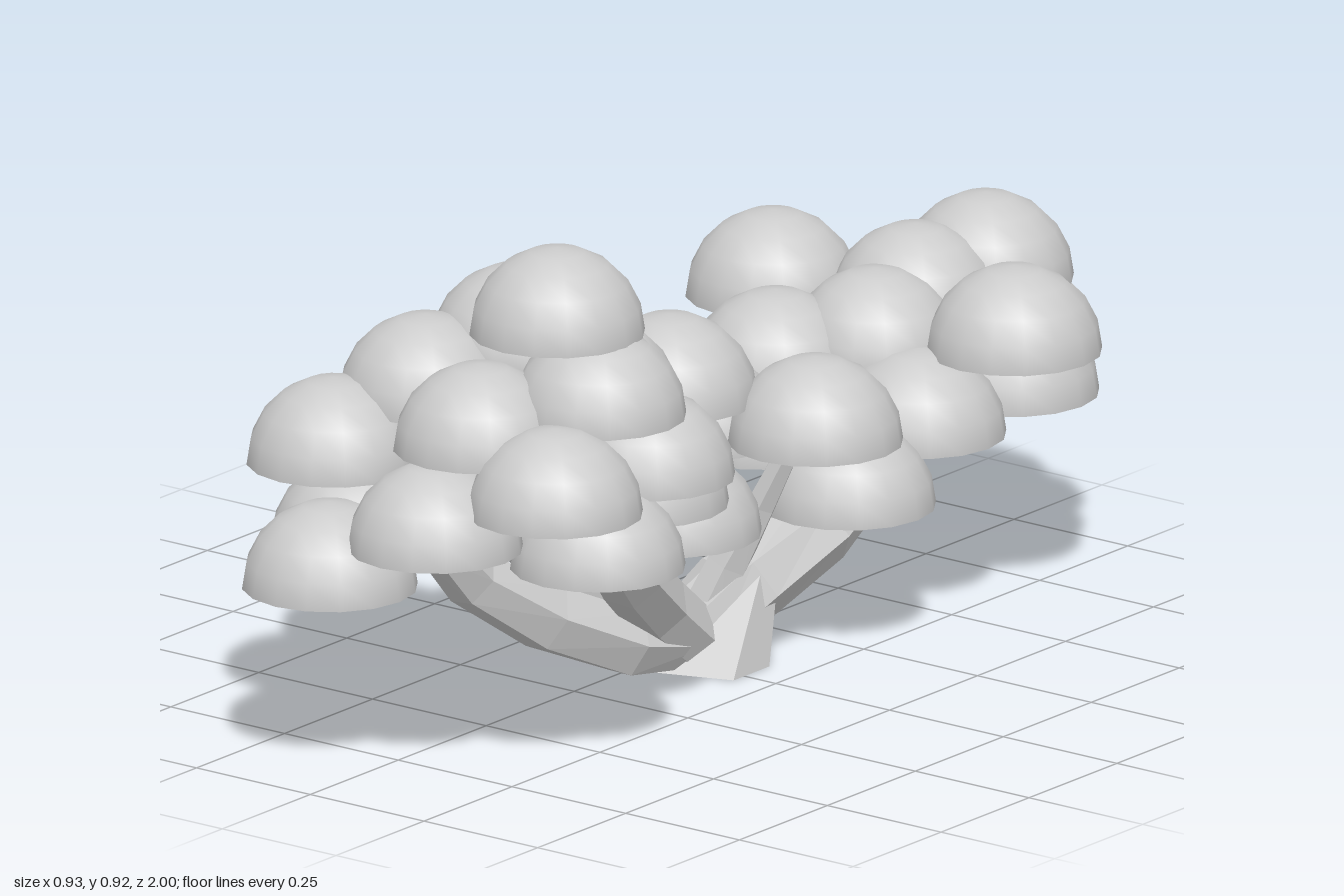
import * as THREE from 'three';

const V = (p) => new THREE.Vector3(...p);

// Leaf domes: centre x, rim height y, centre z
const domes = [
  // back crown
  [0.07, 0.50, -0.83], [0.12, 0.375, -0.845], [0.18, 0.33, -0.76],
  [-0.22, 0.47, -0.60], [0.31, 0.47, -0.60], [-0.09, 0.275, -0.69],
  [0.035, 0.475, -0.675], [0.06, 0.435, -0.53], [-0.06, 0.405, -0.40],
  [-0.13, 0.25, -0.455], [0.20, 0.33, -0.47], [0.20, 0.25, -0.27],
  // middle crown
  [0.24, 0.41, -0.125], [0, 0.38, -0.10], [0.025, 0.48, 0.01],
  [-0.15, 0.197, 0.03], [0.08, 0.262, 0.07], [-0.14, 0.365, 0.18],
  [0.12, 0.36, 0.215], [0, 0.515, 0.20],
  // front crown
  [0.265, 0.48, 0.385], [-0.31, 0.36, 0.385], [-0.27, 0.445, 0.39],
  [0.005, 0.668, 0.42], [0.183, 0.763, 0.535], [0.27, 0.628, 0.53],
  [0.28, 0.357, 0.545], [-0.19, 0.327, 0.62], [-0.075, 0.602, 0.575],
  [0.12, 0.573, 0.67], [-0.16, 0.508, 0.725], [0.31, 0.50, 0.705],
  [0.112, 0.42, 0.79], [-0.077, 0.327, 0.845],
];

// Main limbs: path points, with a radius at each point
const limbs = [
  { name: 'frontLimb', radii: [0.055, 0.065, 0.065, 0.055, 0.045, 0.03],
    path: [[0.055, 0.04, 0], [0.03, 0.07, 0.14], [-0.03, 0.14, 0.29], [-0.085, 0.235, 0.43], [-0.095, 0.33, 0.52], [-0.09, 0.43, 0.58]] },
  { name: 'frontLeftLimb', radii: [0.06, 0.062, 0.06, 0.055, 0.03],
    path: [[0.06, 0.05, 0], [0.065, 0.13, 0.1], [0.1, 0.22, 0.22], [0.145, 0.31, 0.33], [0.17, 0.44, 0.41]] },
  { name: 'frontRightLimb', radii: [0.06, 0.055, 0.045, 0.025],
    path: [[0.05, 0.05, 0.02], [0, 0.14, 0.12], [-0.09, 0.25, 0.26], [-0.18, 0.36, 0.36]] },
  { name: 'backLimb', radii: [0.07, 0.075, 0.065, 0.05, 0.04, 0.02],
    path: [[0.05, 0.05, -0.03], [0.1, 0.13, -0.13], [0.15, 0.2, -0.26], [0.13, 0.25, -0.42], [0.09, 0.31, -0.55], [0.06, 0.42, -0.67]] },
  { name: 'middleLimb', radii: [0.045, 0.04, 0.028, 0.02],
    path: [[0.06, 0.08, -0.04], [0.09, 0.17, -0.07], [0.14, 0.28, -0.1], [0.2, 0.41, -0.12]] },
];

// Faceted limb lofted through rings square to the path, closed at both ends
function limbGeometry(points, radii, sides) {
  const pos = [], index = [];
  points.forEach((p, i) => {
    const dir = points[Math.min(i + 1, points.length - 1)].clone()
      .sub(points[Math.max(i - 1, 0)]).normalize();
    const u = new THREE.Vector3(1, 0, 0).addScaledVector(dir, -dir.x).normalize();
    const w = dir.clone().cross(u);
    for (let s = 0; s < sides; s++) {
      const a = (s / sides) * Math.PI * 2;
      const q = p.clone().addScaledVector(u, Math.cos(a) * radii[i]).addScaledVector(w, Math.sin(a) * radii[i]);
      pos.push(q.x, Math.max(q.y, 0), q.z);
      const b = i * sides + s, c = i * sides + (s + 1) % sides;
      if (i < points.length - 1) index.push(b, c, b + sides, c, c + sides, b + sides);
    }
  });
  const last = (points.length - 1) * sides;
  for (let s = 1; s < sides - 1; s++) index.push(0, s + 1, s, last, last + s, last + s + 1);
  const g = new THREE.BufferGeometry();
  g.setAttribute('position', new THREE.Float32BufferAttribute(pos, 3));
  g.setIndex(index);
  g.computeVertexNormals();
  return g;
}

export function createModel() {
  const tree = new THREE.Group();
  tree.name = 'tree';
  const bark = new THREE.MeshStandardMaterial({ color: 0xcccccc, flatShading: true });
  const leaf = new THREE.MeshStandardMaterial({ color: 0xcccccc, side: THREE.DoubleSide });
  const add = (name, geometry, material) => {
    const mesh = new THREE.Mesh(geometry, material);
    mesh.name = name;
    tree.add(mesh);
    return mesh;
  };

  // Spreading trunk foot, leaning back as it narrows, with a root tapering to the right
  const foot = new THREE.CylinderGeometry(0.065, 0.13, 0.16, 6, 1);
  const fp = foot.attributes.position;
  for (let i = 0; i < fp.count; i++) {
    const x = fp.getX(i), z = fp.getZ(i);
    if (fp.getY(i) > 0) fp.setXYZ(i, x * 1.15 + 0.08, 0.16, z * 0.78 - 0.12);
    else fp.setXYZ(i, x * 1.27 + 0.038, 0, x < -0.05 ? z * 0.3 - 0.06 : z * 0.78 - 0.02);
  }
  add('trunkFoot', foot, bark);

  // Main limbs, remembering points along them where twigs can start
  const forks = [];
  for (const { name, path, radii } of limbs) {
    const points = path.map(V);
    add(name, limbGeometry(points, radii, 6), bark);
    const curve = new THREE.CatmullRomCurve3(points);
    for (let t = 0.35; t <= 1; t += 0.13) forks.push(curve.getPoint(t));
  }

  // Open leaf domes, each held by a twig from the nearest lower fork
  const domeGeometry = new THREE.SphereGeometry(0.154, 16, 5, 0, Math.PI * 2, 0, Math.PI / 2);
  for (const p of domes) {
    add('leafDome', domeGeometry, leaf).position.set(...p);
    const tip = V(p).add(new THREE.Vector3(0, 0.06, 0));
    const cost = (f) => f.distanceTo(tip) + Math.max(0, f.y - p[1]) * 3;
    const fork = forks.reduce((a, b) => (cost(b) < cost(a) ? b : a));
    add('twig', limbGeometry([fork, tip], [0.018, 0.007], 4), bark);
  }
  return tree;
}
